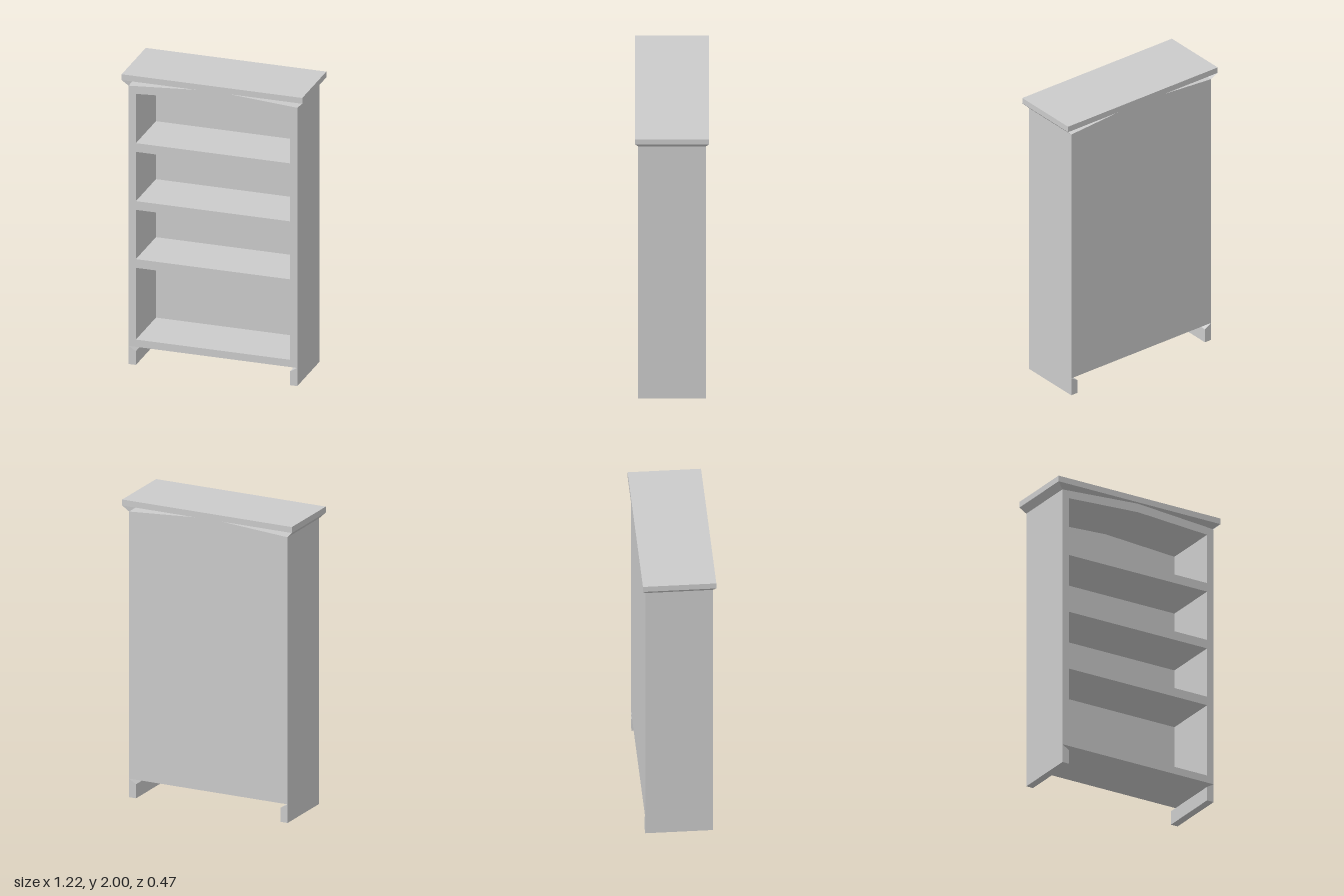
import * as THREE from 'three';

const FRONT = 0.217, BACK = -0.217, PANEL = -0.175;

export function createModel() {
  const model = new THREE.Group();
  const mat = new THREE.MeshStandardMaterial({ color: 0xcccccc, flatShading: true });
  const sheetMat = new THREE.MeshStandardMaterial({ color: 0xcccccc, flatShading: true, side: THREE.DoubleSide });

  const add = (name, geometry, material = mat) => {
    const mesh = new THREE.Mesh(geometry, material);
    mesh.name = name;
    model.add(mesh);
    return mesh;
  };
  const toPoints = (list) => list.map(([x, y]) => new THREE.Vector2(x, y));
  const extrude = (shape, z0, z1) =>
    new THREE.ExtrudeGeometry(shape, { depth: z1 - z0, bevelEnabled: false }).translate(0, 0, z0);

  // Outline shared by the carcass and the back panel, with a low peak on top
  const outline = () => new THREE.Shape(toPoints([
    [-0.57, 0.125], [0.57, 0.125], [0.57, 1.92], [0, 1.96], [-0.57, 1.92],
  ]));

  // Carcass: sides, base and three shelves around four open compartments
  const carcass = outline();
  for (const [y0, y1, peak] of [[0.175, 0.67], [0.73, 1.07], [1.13, 1.47], [1.53, 1.87, 1.9]]) {
    const hole = [[-0.52, y0], [-0.52, y1], [0.52, y1], [0.52, y0]];
    if (peak) hole.splice(2, 0, [0, peak]);
    carcass.holes.push(new THREE.Path(toPoints(hole)));
  }
  add('carcassWithShelves', extrude(carcass, PANEL, FRONT));
  add('backPanel', extrude(outline(), BACK, PANEL));

  // Top board
  add('topBoard', new THREE.BoxGeometry(1.22, 0.04, 0.47)).position.y = 1.98;

  for (const s of [1, -1]) {
    const side = s > 0 ? 'left' : 'right';

    // Full-depth foot with a sloping top
    const foot = new THREE.Shape(toPoints([
      [s * 0.57, 0], [s * 0.57, 0.125], [s * 0.52, 0.095], [s * 0.52, 0],
    ]));
    add(side + 'Foot', extrude(foot, BACK, FRONT));

    // Thin flared strip from the side up to the edge of the top board
    const strip = new THREE.PlaneGeometry(1, 1);
    const p = strip.attributes.position;
    for (let i = 0; i < p.count; i++) {
      const upper = p.getY(i) > 0;
      const z = -s * Math.sign(p.getX(i)) * (upper ? 0.235 : FRONT);
      p.setXYZ(i, s * (upper ? 0.61 : 0.57), upper ? 1.96 : 1.92, z);
    }
    strip.computeVertexNormals();
    add(side + 'Cornice', strip, sheetMat);
  }
  return model;
}
